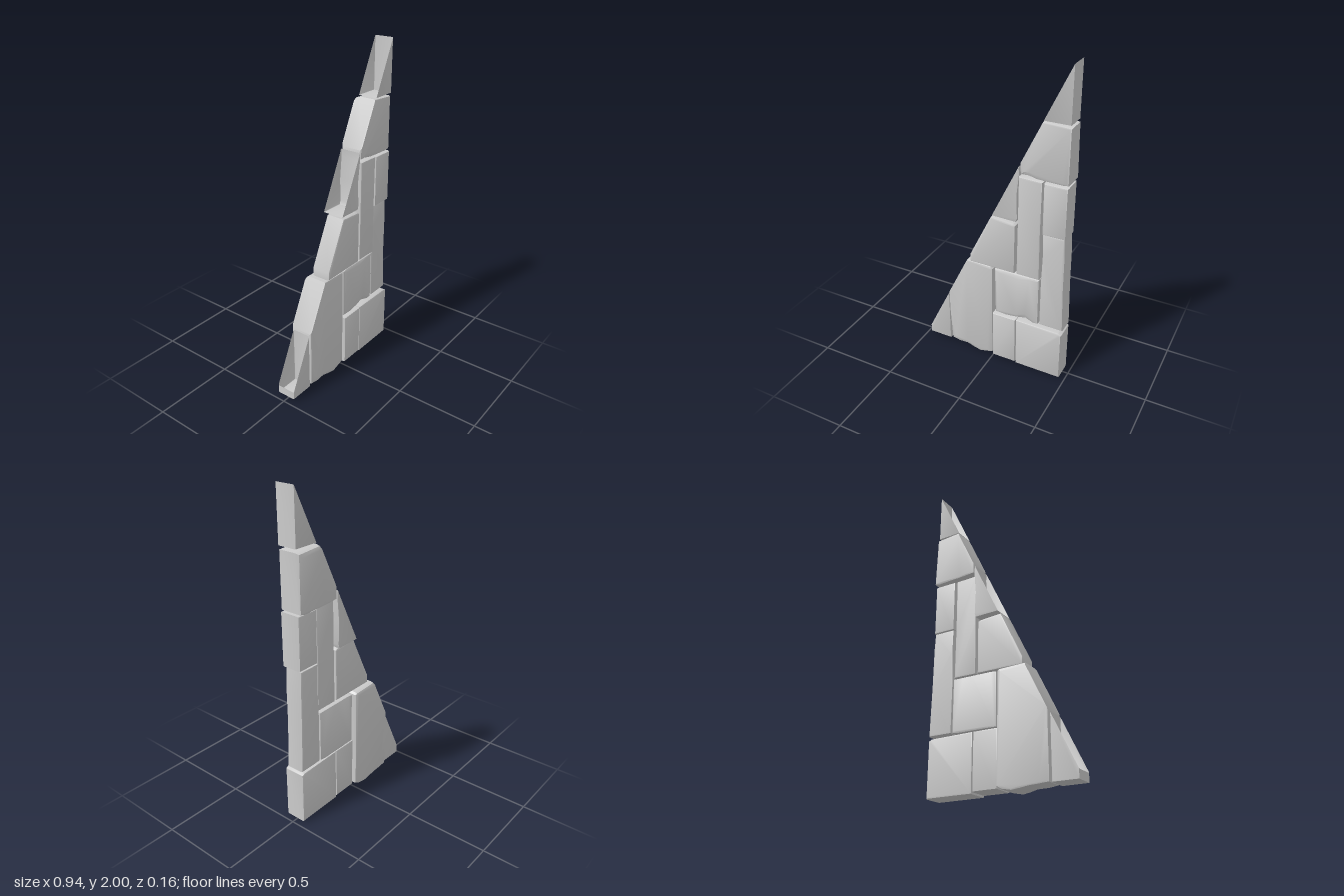
import * as THREE from 'three';
import { toCreasedNormals } from 'three/addons/utils/BufferGeometryUtils.js';

// The sloping cut that trims the left edge of the wall
const slopeX = (y) => -0.47 + (y - 0.07) / 2.086;
const onSlope = ([x, y]) => Math.abs(x - slopeX(y)) < 1e-6;
const cut = (y, front = 0, back = 0) => [slopeX(y), y, front, back];
const rect = (x0, y0, x1, y1) => [[x0, y0], [x1, y0], [x1, y1], [x0, y1]];

// Move profile corner i inward by d; edges lying on the cut stay in place
function inset(pts, i, d) {
  const n = pts.length, p = pts[i];
  const edge = (a, b) => {
    const dx = b[0] - a[0], dy = b[1] - a[1], l = Math.hypot(dx, dy);
    return { nx: -dy / l, ny: dx / l, d: onSlope(a) && onSlope(b) ? 0 : d };
  };
  const e = edge(pts[(i + n - 1) % n], p), f = edge(p, pts[(i + 1) % n]);
  const det = e.nx * f.ny - e.ny * f.nx;
  if (Math.abs(det) < 0.05) return [p[0] + e.nx * e.d, p[1] + e.ny * e.d];
  return [p[0] + (e.d * f.ny - f.d * e.ny) / det, p[1] + (e.nx * f.d - f.nx * e.d) / det];
}

// Loft a counter-clockwise profile from z0 to z1 with worn, rounded rims.
// Corners are [x, y, extra wear at the front, extra wear at the back].
function stone(pts, z0, z1, open, bevel = 0.01) {
  const n = pts.length, pos = [];
  const ring = (front, t, depth) => pts.map((p, i) => {
    const b = bevel + ((front ? p[2] : p[3]) || 0);
    const [x, y] = inset(pts, i, b * t);
    return [x, y, front ? z1 - b * depth : z0 + b * depth];
  });
  const rings = [
    ring(false, 1, 0), ring(false, 0.3, 0.3), ring(false, 0, 1),
    ring(true, 0, 1), ring(true, 0.3, 0.3), ring(true, 1, 0),
  ];
  for (let r = 0; r < rings.length - 1; r++) {
    for (let i = 0; i < n; i++) {
      const j = (i + 1) % n;
      if (open && onSlope(pts[i]) && onSlope(pts[j])) continue;
      const a = rings[r][i], b = rings[r][j], c = rings[r + 1][j], d = rings[r + 1][i];
      pos.push(...a, ...b, ...c, ...a, ...c, ...d);
    }
  }
  // Front and back faces
  for (const [cap, flip] of [[rings[0], true], [rings[5], false]]) {
    const tris = THREE.ShapeUtils.triangulateShape(cap.map((p) => new THREE.Vector2(p[0], p[1])), []);
    for (const [a, b, c] of tris) {
      const order = flip ? [c, b, a] : [a, b, c];
      for (const k of order) pos.push(...cap[k]);
    }
  }
  const geo = new THREE.BufferGeometry();
  geo.setAttribute('position', new THREE.Float32BufferAttribute(pos, 3));
  return toCreasedNormals(geo, 0.6);
}

export function createModel() {
  const group = new THREE.Group();
  group.name = 'stoneWallWedge';
  const material = new THREE.MeshStandardMaterial({ color: 0xcccccc, side: THREE.DoubleSide });
  const add = (name, pts, z0, z1, open = false, bevel) => {
    const mesh = new THREE.Mesh(stone(pts, z0, z1, open, bevel), material);
    mesh.name = name;
    group.add(mesh);
  };

  // Bottom course
  add('footWedge', [[-0.47, 0.02], [-0.318, 0.02], cut(0.387), cut(0.07)], -0.065, 0.055, true, 0.005);
  add('largeSlopedStone', [
    [-0.313, 0.02, 0.03], [-0.25, 0.015, 0.02], [-0.19, 0.012, 0.03], [-0.14, 0.005, 0.015],
    [-0.09, 0, 0.005], [-0.03, 0.012, 0.01], [0, 0.03], [0, 0.67, 0, 0.01], [-0.012, 0.682, 0, 0.012],
    cut(0.688, 0, 0.015), cut(0.397), [-0.313, 0.25, 0.005],
  ], -0.08, 0.065);
  add('smallBaseStone', rect(0.005, 0.02, 0.163, 0.35), -0.06, 0.078);
  add('cornerBaseStone', [[0.166, 0.01], [0.465, 0.01], [0.465, 0.335], [0.445, 0.346], [0.166, 0.35]], -0.06, 0.075);

  // Middle courses
  add('squareStone', [
    [0.012, 0.353, 0.012], [0.09, 0.353, 0.005], [0.16, 0.353, 0.02], [0.22, 0.353, 0.045],
    [0.27, 0.353, 0.01], [0.305, 0.36], [0.305, 0.68], [0.24, 0.68, 0.005], [0.17, 0.68, 0.02],
    [0.1, 0.68, 0.005], [0.05, 0.68, 0.015], [0.012, 0.675],
  ], -0.06, 0.06);
  add('tallEdgeStone', [
    [0.312, 0.36], [0.465, 0.36], [0.458, 0.65, 0.006], [0.456, 0.9], [0.45, 0.998],
    [0.315, 0.998], [0.318, 0.85], [0.31, 0.65, 0.006],
  ], -0.06, 0.056);
  add('upperEdgeStone', rect(0.316, 1.002, 0.458, 1.322), -0.06, 0.07);
  add('tallInnerStone', [
    [0.16, 0.69], [0.308, 0.69], [0.306, 1.0], [0.309, 1.327], [0.165, 1.33], [0.163, 1.0],
  ], -0.05, 0.07);
  add('middleSlopedStone', [
    [-0.15, 0.69], [0.148, 0.69], [0.15, 1.015], [0.135, 1.024], cut(1.034), [-0.15, 0.7375],
  ], -0.05, 0.072);

  // Upper courses
  add('innerWedge', [
    cut(1.04), [0.148, 1.036], [0.157, 1.06], [0.152, 1.2, 0.006], [0.165, 1.34], [0.162, 1.388], cut(1.388),
  ], -0.076, 0.06, true, 0.005);
  add('upperSlopedStone', [
    [0.168, 1.34, 0.012], [0.22, 1.335, 0.025], [0.27, 1.332, 0.008], [0.35, 1.33, 0.005],
    [0.42, 1.326, 0.01], [0.458, 1.335], [0.458, 1.662, 0, 0.018], cut(1.673, 0, 0.018), cut(1.402),
  ], -0.078, 0.064);
  add('tipWedge', [cut(1.68), [0.455, 1.68], cut(2)], -0.054, 0.068, true, 0.003);

  return group;
}
